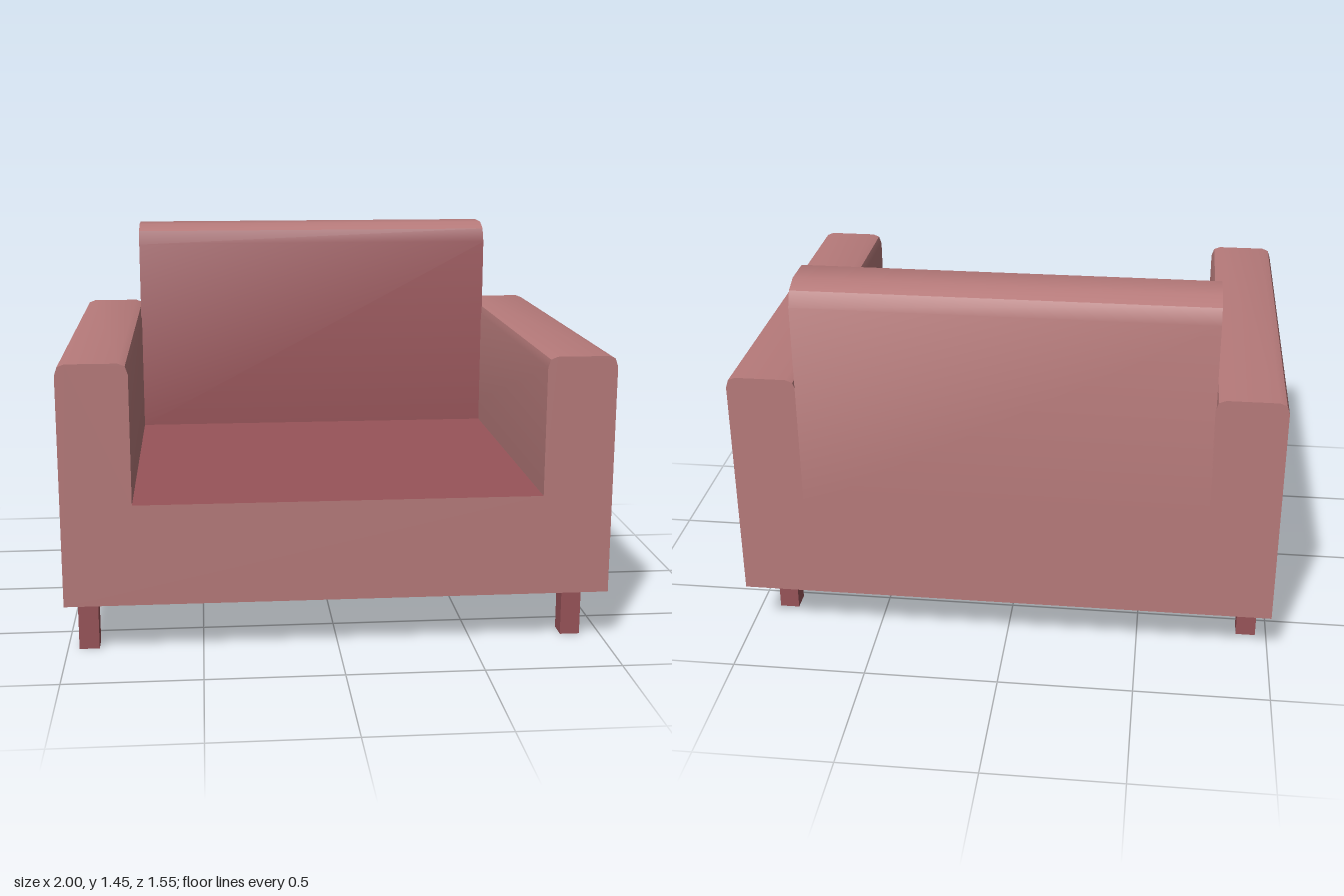
import * as THREE from 'three';
import { toCreasedNormals } from 'three/addons/utils/BufferGeometryUtils.js';

const fabric = new THREE.MeshStandardMaterial({ color: 0xb67a7a });
fabric.name = 'dusty pink fabric';
const accent = new THREE.MeshStandardMaterial({ color: 0x985459 });
accent.name = 'dark rose';

// Extrude a closed outline, keeping only strong edges sharp
function extrude(points, depth) {
  const shape = new THREE.Shape(points.map(([x, y]) => new THREE.Vector2(x, y)));
  return new THREE.ExtrudeGeometry(shape, { depth, bevelEnabled: false });
}

// Give the accent material to the triangles whose corners all pass the test
function paintedMesh(name, geometry, isAccent) {
  const geo = toCreasedNormals(geometry, 0.55);
  const pos = geo.attributes.position;
  geo.clearGroups();
  for (let i = 0; i < pos.count; i += 3) {
    const corners = [0, 1, 2].map((k) => new THREE.Vector3().fromBufferAttribute(pos, i + k));
    geo.addGroup(i, 3, isAccent(corners) ? 1 : 0);
  }
  const mesh = new THREE.Mesh(geo, [fabric, accent]);
  mesh.name = name;
  return mesh;
}

export function createModel() {
  const model = new THREE.Group();
  model.name = 'armchair';

  // U-shaped body: base and both arms, with the seat surface in the accent colour
  const seatY = 0.575;
  const arm = [
    [1, 0.2], [1, 1.05], [0.99, 1.08], [0.965, 1.09],
    [0.78, 1.09], [0.755, 1.08], [0.745, 1.05], [0.745, seatY],
  ];
  const outline = [...arm, ...arm.map(([x, y]) => [-x, y]).reverse()];
  const body = extrude(outline, 1.55).translate(0, 0, -0.775);
  model.add(paintedMesh('bodyWithArms', body,
    (c) => c.every((v) => Math.abs(v.y - seatY) < 0.001)));

  // Backrest: side profile (z, y) with a rounded top, run across the width
  const profile = [
    [-0.775, seatY], [-0.48, seatY], [-0.48, 1.37], [-0.505, 1.425],
    [-0.565, 1.45], [-0.69, 1.45], [-0.75, 1.425], [-0.775, 1.37],
  ];
  const back = extrude(profile, 1.496).rotateY(-Math.PI / 2).translate(0.748, 0, 0);
  model.add(paintedMesh('backrest', back, (c) => {
    const spansWidth = Math.abs(c[0].x - c[1].x) + Math.abs(c[1].x - c[2].x) > 0.1;
    return spansWidth && c.every((v) => v.z > -0.51);
  }));

  // Legs
  const legGeo = new THREE.BoxGeometry(0.074, 0.2, 0.076);
  for (const x of [-0.921, 0.887]) {
    for (const z of [0.642, -0.563]) {
      const leg = new THREE.Mesh(legGeo, accent);
      leg.name = (z > 0 ? 'front' : 'back') + (x > 0 ? 'Left' : 'Right') + 'Leg';
      leg.position.set(x, 0.1, z);
      model.add(leg);
    }
  }
  return model;
}
